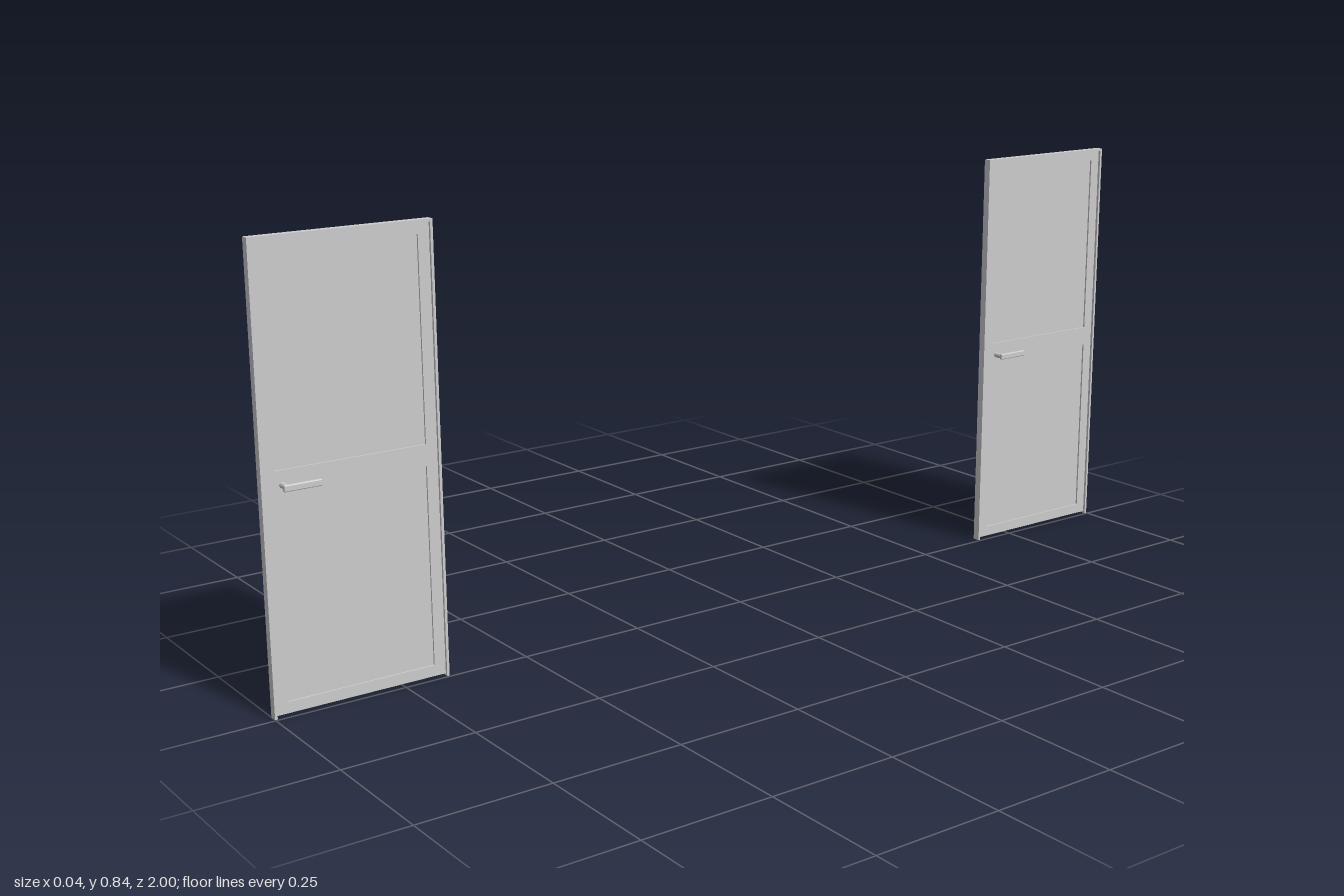
import * as THREE from 'three';
import { RoundedBoxGeometry } from 'three/addons/geometries/RoundedBoxGeometry.js';

const grey = new THREE.MeshStandardMaterial({ color: 0xcccccc });
const H = 0.84, W = 0.34;      // door height and width (along z)
const X0 = -0.019, X1 = -0.0035; // back and front planes of the jamb
const JAMB = 0.005;

function mesh(name, geometry, x = 0, y = 0, z = 0) {
  const m = new THREE.Mesh(geometry, grey);
  m.name = name;
  m.position.set(x, y, z);
  return m;
}

// Rectangle path in the (z, y) plane
function rect(path, z0, z1, y0, y1) {
  path.moveTo(z0, y0);
  path.lineTo(z1, y0);
  path.lineTo(z1, y1);
  path.lineTo(z0, y1);
  path.closePath();
  return path;
}

// Extrude a (z, y) outline from x = a to x = b
function slab(shape, a, b) {
  const g = new THREE.ExtrudeGeometry(shape, { depth: b - a, bevelEnabled: false });
  g.rotateY(-Math.PI / 2);
  return g.translate(b, 0, 0);
}

function createDoor() {
  const door = new THREE.Group();
  const h = W / 2;

  // Jamb: two posts and a head in one U-shaped profile, open at the floor
  const i = h - JAMB;
  const jamb = new THREE.Shape([
    [-h, 0], [-i, 0], [-i, H - JAMB], [i, H - JAMB],
    [i, 0], [h, 0], [h, H], [-h, H],
  ].map(([z, y]) => new THREE.Vector2(z, y)));
  door.add(mesh('jamb', slab(jamb, X0, X1)));

  // Leaf: stiles and rails around two openings, set back from the jamb
  const panels = [[0.025, 0.4], [0.44, 0.815]];
  const pz = h - 0.027;
  const leaf = rect(new THREE.Shape(), -i, i, 0.004, H - JAMB);
  for (const [y0, y1] of panels) leaf.holes.push(rect(new THREE.Path(), -pz, pz, y0, y1));
  door.add(mesh('leafFrame', slab(leaf, -0.0175, -0.0085)));

  // Thin infill panels
  panels.forEach(([y0, y1], k) => {
    door.add(mesh(k ? 'upperPanel' : 'lowerPanel',
      new THREE.BoxGeometry(0.003, y1 - y0, 2 * pz), -0.0135, (y0 + y1) / 2, 0));
  });

  // Lever handle on the front face
  const handle = new THREE.Group();
  handle.name = 'handle';
  handle.position.set(0, 0.414, h - 0.04);
  const stem = new THREE.CylinderGeometry(0.0055, 0.0055, 0.024, 16).rotateZ(Math.PI / 2);
  handle.add(mesh('handleStem', stem, 0.003, 0, 0));
  handle.add(mesh('handleLever', new RoundedBoxGeometry(0.007, 0.012, 0.07, 2, 0.002), 0.0145, 0, -0.027));
  door.add(handle);
  return door;
}

export function createModel() {
  const model = new THREE.Group();
  model.name = 'doors';
  // Two identical doors in line along z
  [['frontDoor', 1 - W / 2], ['backDoor', -1 + W / 2]].forEach(([name, z]) => {
    const door = createDoor();
    door.name = name;
    door.position.z = z;
    model.add(door);
  });
  return model;
}
